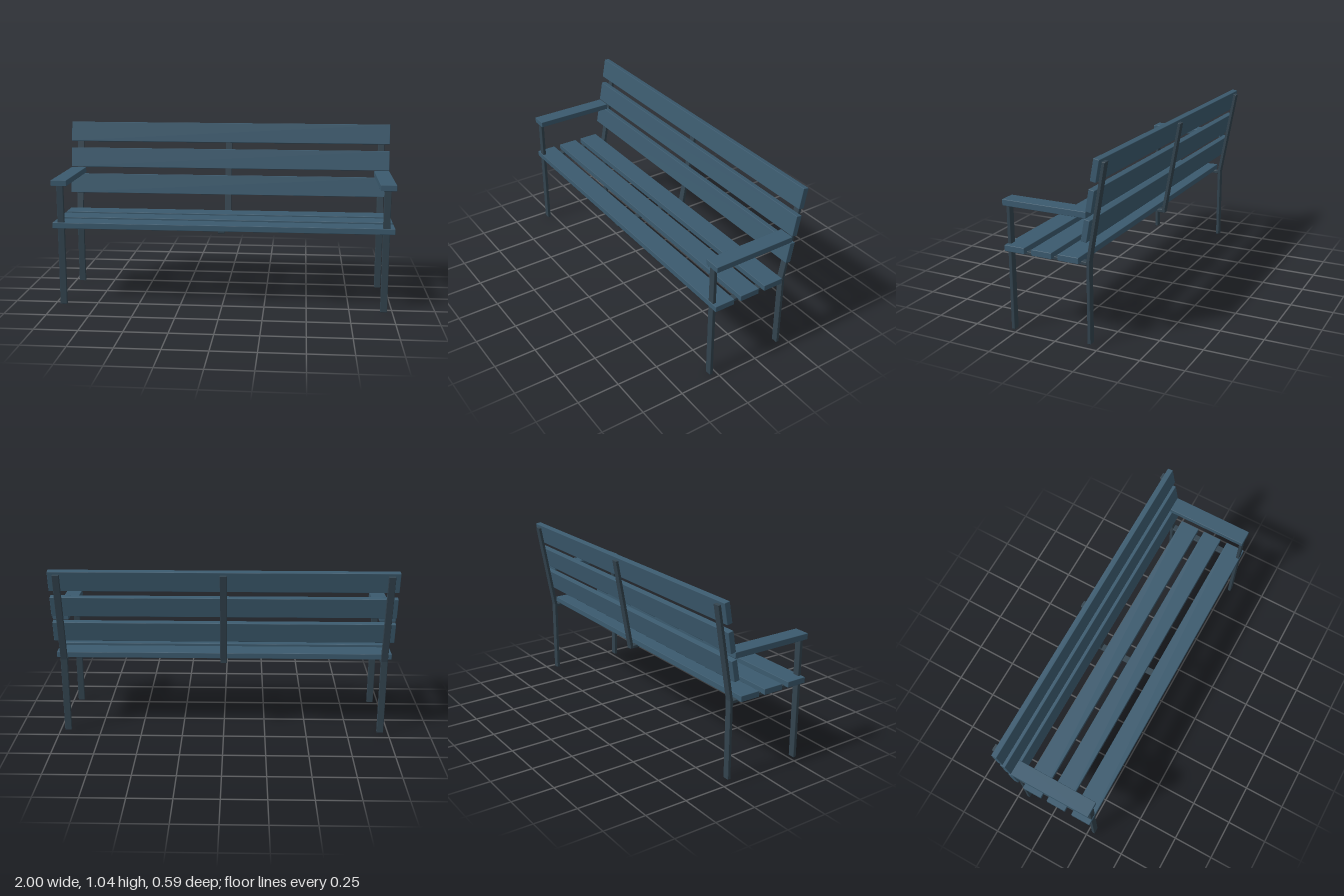
import * as THREE from 'three';
import { RoundedBoxGeometry } from 'three/addons/geometries/RoundedBoxGeometry.js';

const TILT = THREE.MathUtils.degToRad(10.2);
const POST_WIDTH = 0.04;

export function createModel() {
  const bench = new THREE.Group();
  bench.name = 'bench';
  const slatMaterial = new THREE.MeshStandardMaterial({ color: 0x3b5a6e });
  const frameMaterial = new THREE.MeshStandardMaterial({ color: 0x32434e });

  // Softly eased box placed by its centre
  function bar(name, size, position, material, tilt = 0) {
    const mesh = new THREE.Mesh(new RoundedBoxGeometry(...size, 1, 0.003), material);
    mesh.name = name;
    mesh.position.set(...position);
    mesh.rotation.x = -tilt;
    bench.add(mesh);
  }

  // Side profile given as [z, y] points, extruded across x
  function profileBar(name, points, x) {
    const shape = new THREE.Shape(points.map(([z, y]) => new THREE.Vector2(-z, y)));
    const bevel = 0.002;
    const geometry = new THREE.ExtrudeGeometry(shape, {
      depth: POST_WIDTH - 2 * bevel, bevelEnabled: true, bevelSegments: 1,
      bevelSize: bevel, bevelOffset: -bevel, bevelThickness: bevel,
    });
    geometry.translate(0, 0, -POST_WIDTH / 2 + bevel);
    geometry.rotateY(Math.PI / 2);
    const mesh = new THREE.Mesh(geometry, frameMaterial);
    mesh.name = name;
    mesh.position.x = x;
    bench.add(mesh);
  }

  // Seat slats
  for (const z of [0.234, 0.069, -0.091]) {
    bar('seatSlat', [2, 0.035, 0.122], [0, 0.483, z], slatMaterial);
  }

  // Leaning back slats
  for (let i = 0; i < 3; i++) {
    bar('backSlat', [2, 0.122, 0.034], [0, 0.653 + 0.161 * i, -0.195 - 0.029 * i], slatMaterial, TILT);
  }

  // Bent posts: full legs at the ends, a short support in the middle
  for (const [x, bottom] of [[-0.95, 0.01], [0, 0.455], [0.95, 0.01]]) {
    profileBar(x ? 'backLeg' : 'middleBackSupport', [
      [-0.181, bottom], [-0.181, 0.473], [-0.278, 1.017],
      [-0.296, 1.014], [-0.2, 0.471], [-0.2, bottom],
    ], x);
    bar('seatRail', [POST_WIDTH, 0.018, 0.475], [x, 0.463, 0.054], frameMaterial);
  }

  // Front legs and armrests, mirrored
  for (const side of [-1, 1]) {
    bar('frontLeg', [POST_WIDTH, 0.722, 0.02], [side * 0.95, 0.361, 0.282], frameMaterial);
    bar('armrest', [0.093, 0.035, 0.497], [side * 0.9535, 0.737, 0.0485], slatMaterial);
  }
  return bench;
}
